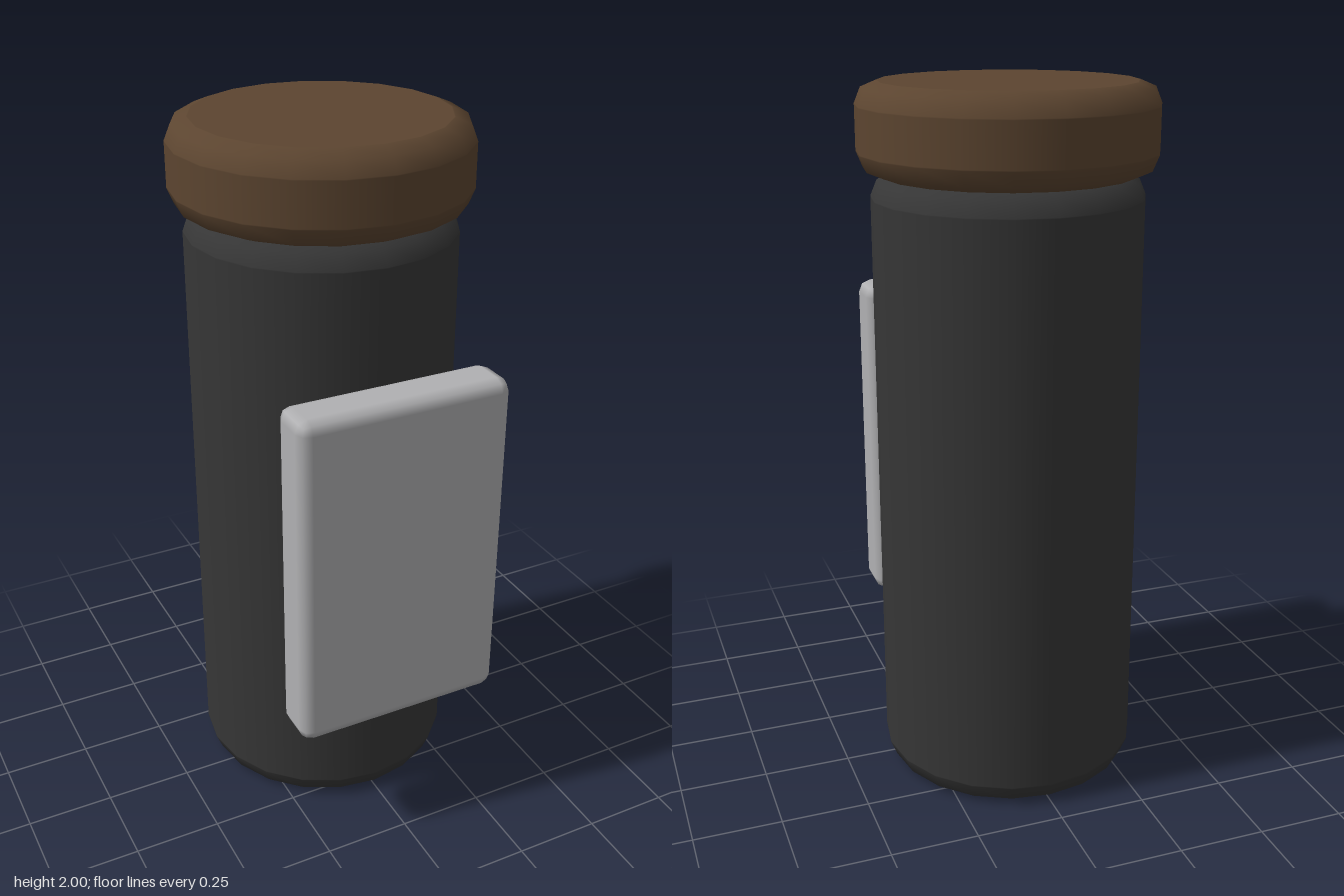
import * as THREE from 'three';
import { RoundedBoxGeometry } from 'three/addons/geometries/RoundedBoxGeometry.js';

const material = (name, color) => {
  const m = new THREE.MeshStandardMaterial({ color });
  m.name = name;
  return m;
};

// Upright drum with softly bevelled rims; the extra rings keep the flats flat
function bevelledDrum(radius, bottom, top, bevel) {
  const mid = bevel * (1 - Math.SQRT1_2), keep = 0.003;
  const half = [
    [0, 0],
    [radius - bevel - keep, 0],
    [radius - bevel, 0],
    [radius - mid, mid],
    [radius, bevel],
    [radius, bevel + keep],
  ];
  const points = [
    ...half.map(([r, d]) => new THREE.Vector2(r, bottom + d)),
    ...half.map(([r, d]) => new THREE.Vector2(r, top - d)).reverse(),
  ];
  return new THREE.LatheGeometry(points, 20);
}

export function createModel() {
  const group = new THREE.Group();
  const add = (name, geometry, mat, x, y, z) => {
    const mesh = new THREE.Mesh(geometry, mat);
    mesh.name = name;
    mesh.position.set(x, y, z);
    group.add(mesh);
  };

  const axisZ = -0.05;
  add('body', bevelledDrum(0.375, 0, 1.755, 0.06), material('charcoal', 0x363636), 0, 0, axisZ);
  add('cap', bevelledDrum(0.411, 1.755, 2, 0.06), material('brown', 0x5c4530), 0, 0, axisZ);

  // Label plate standing off the front
  add('frontPlate', new RoundedBoxGeometry(0.62, 0.995, 0.15, 1, 0.035),
    material('light grey', 0xb0b0b2), 0, 0.883, 0.386);

  return group;
}
